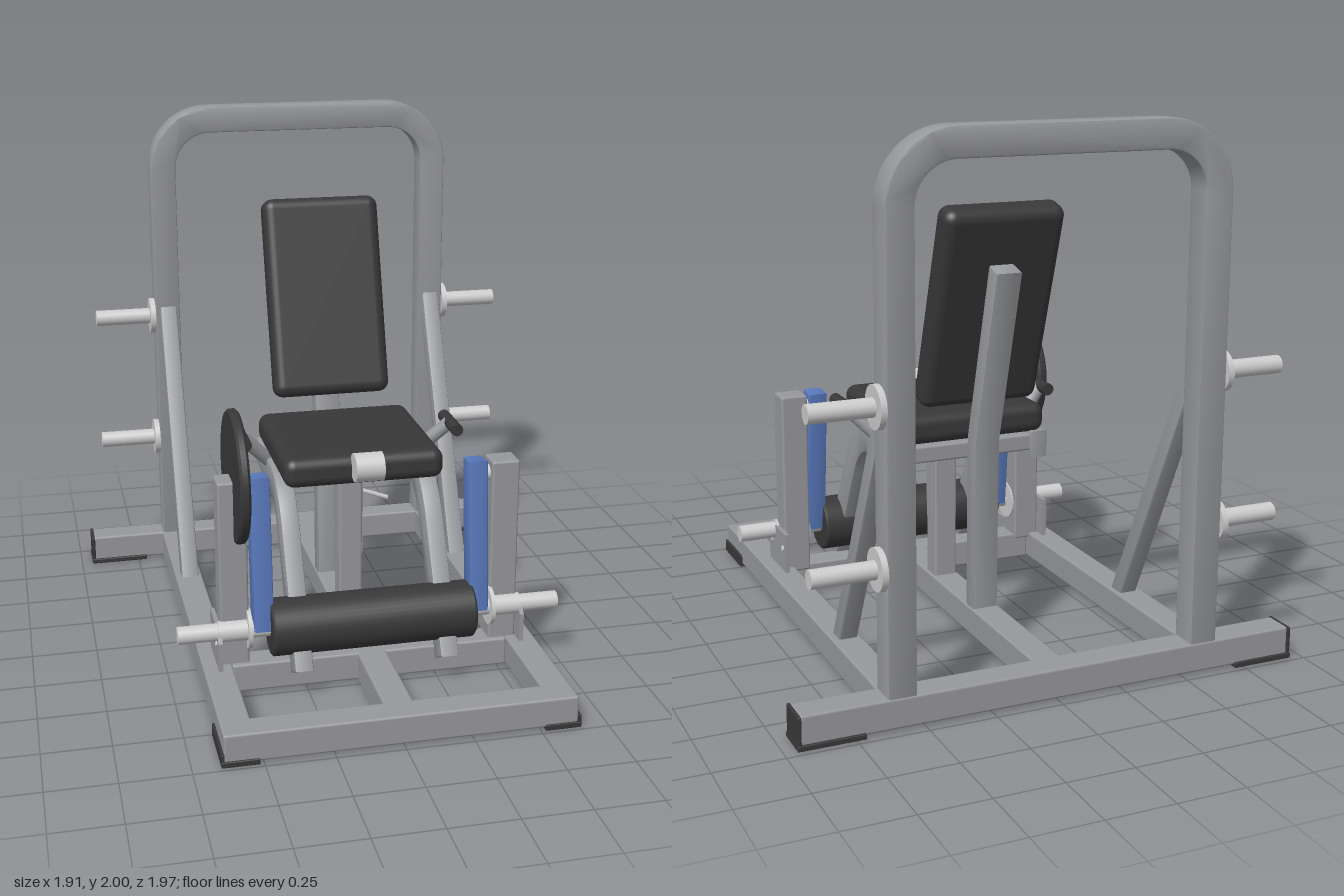
import * as THREE from 'three';
import { toCreasedNormals } from 'three/addons/utils/BufferGeometryUtils.js';
import { RoundedBoxGeometry } from 'three/addons/geometries/RoundedBoxGeometry.js';

const mat = (color) => new THREE.MeshStandardMaterial({ color });
const V2 = (x, y) => new THREE.Vector2(x, y);
const V3 = (x, y, z) => new THREE.Vector3(x, y, z);

export function createModel() {
  const model = new THREE.Group();
  const steel = mat(0x97989c), chrome = mat(0xcccccc), dark = mat(0x383838), blue = mat(0x5878bb);

  const add = (name, geo, material) => {
    const mesh = new THREE.Mesh(geo, material);
    mesh.name = name;
    model.add(mesh);
    return mesh;
  };

  // box given by its extents, with softly rounded edges
  const box = (name, x0, x1, y0, y1, z0, z1, material = steel, r = 0.009, seg = 2) => {
    const mesh = add(name, new RoundedBoxGeometry(x1 - x0, y1 - y0, z1 - z0, seg, r), material);
    mesh.position.set((x0 + x1) / 2, (y0 + y1) / 2, (z0 + z1) / 2);
    return mesh;
  };

  // cylinder along x
  const rodX = (name, x0, x1, y, z, r, material = chrome) => {
    const geo = new THREE.CylinderGeometry(r, r, Math.abs(x1 - x0), 32).rotateZ(Math.PI / 2);
    const mesh = add(name, geo, material);
    mesh.position.set((x0 + x1) / 2, y, z);
    return mesh;
  };

  // cylinder between two points
  const rod = (name, a, b, r, material, sides = 16) => {
    const mesh = add(name, new THREE.CylinderGeometry(r, r, a.distanceTo(b), sides), material);
    mesh.position.copy(a).lerp(b, 0.5);
    mesh.quaternion.setFromUnitVectors(V3(0, 1, 0), b.clone().sub(a).normalize());
    return mesh;
  };

  // bent rectangular tube: a centre line widened by w, extruded by depth
  const bentTube = (name, pts, w, depth, sideways = true, material = steel) => {
    const left = [], right = [];
    pts.forEach((p, i) => {
      const d1 = p.clone().sub(pts[Math.max(i - 1, 0)]).normalize();
      const d2 = pts[Math.min(i + 1, pts.length - 1)].clone().sub(p).normalize();
      const t = d1.clone().add(d2).normalize();
      const miter = w / 2 / Math.max(t.dot(i ? d1 : d2), 0.5);
      left.push(V2(p.x - t.y * miter, p.y + t.x * miter));
      right.unshift(V2(p.x + t.y * miter, p.y - t.x * miter));
    });
    const b = 0.008;
    let geo = new THREE.ExtrudeGeometry(new THREE.Shape([...left, ...right]), {
      depth: depth - 2 * b, bevelThickness: b, bevelSize: b, bevelOffset: -b, bevelSegments: 2,
    });
    geo.translate(0, 0, b - depth / 2);
    if (sideways) geo.rotateY(-Math.PI / 2); // profile x becomes z
    return add(name, toCreasedNormals(geo, 0.6), material);
  };

  // base frame
  box('rearBaseBeam', -0.945, 0.945, 0.01, 0.12, -0.97, -0.86);
  box('frontBaseBeam', -0.64, 0.64, 0.01, 0.12, 0.87, 0.98);
  box('middleBaseBeam', -0.53, 0.53, 0.01, 0.12, 0.37, 0.48);
  box('centreRail', -0.055, 0.055, 0.01, 0.12, -0.87, 0.88);

  // rear arch
  const arch = [V2(0.5825, 0.11)];
  for (let i = 0; i <= 12; i++) {
    const a = (i / 12) * Math.PI / 2;
    arch.push(V2(0.3825 + 0.2 * Math.cos(a), 1.7475 + 0.2 * Math.sin(a)));
  }
  const archLine = [...arch, ...arch.map((p) => V2(-p.x, p.y)).reverse()];
  bentTube('rearArch', archLine, 0.105, 0.11, false).position.z = -0.912;

  // seat leg centre line (z, y): flat under the seat, then curving down to the front
  const bend = new THREE.QuadraticBezierCurve(V2(0.07, 0.705), V2(0.207, 0.705), V2(0.295, 0.54));
  const legLine = [V2(-0.235, 0.705), ...bend.getPoints(10), V2(0.531, 0.094)];

  for (const s of [-1, 1]) {
    const span = (a, b) => (s > 0 ? [a, b] : [-b, -a]);

    box('sideRail', ...span(0.53, 0.64), 0.01, 0.12, -0.87, 0.975);

    // dark protective feet
    box('frontFoot', ...span(0.515, 0.65), 0, 0.02, 0.755, 0.985, dark, 0.004);
    box('frontFootSide', ...span(0.638, 0.65), 0, 0.05, 0.755, 0.985, dark, 0.004);
    box('frontFootEdge', ...span(0.515, 0.65), 0, 0.022, 0.974, 0.987, dark, 0.004);
    box('rearFoot', ...span(0.715, 0.955), 0, 0.02, -0.98, -0.85, dark, 0.004);
    box('rearEndCap', ...span(0.94, 0.953), 0, 0.12, -0.977, -0.853, dark, 0.004);

    // diagonal brace
    bentTube('diagonalBrace', [V2(-0.37, 0.08), V2(-0.88, 1.145)], 0.07, 0.07).position.x = s * 0.58;

    // weight storage pegs
    for (const y of [0.56, 1.11]) {
      rodX('storagePeg', s * 0.62, s * 0.885, y, -0.91, 0.033);
      rodX('storagePegCollar', s * 0.635, s * 0.657, y, -0.91, 0.075);
    }

    // front upright with its bracket
    box('frontUpright', ...span(0.463, 0.57), 0.1, 0.835, 0.355, 0.46);
    const plate = new THREE.Shape([
      V2(0.3, 0.11), V2(0.515, 0.11), V2(0.515, 0.23), V2(0.47, 0.28), V2(0.3, 0.28),
    ]);
    const plateGeo = new THREE.ExtrudeGeometry(plate, { depth: 0.016, bevelEnabled: false });
    plateGeo.translate(0, 0, -0.008).rotateY(-Math.PI / 2);
    add('uprightBracket', plateGeo, steel).position.x = s * 0.578;
    for (const z of [0.33, 0.47]) rodX('bracketBolt', s * 0.58, s * 0.592, 0.215, z, 0.012);

    // swinging lever arm and its loading peg
    bentTube('leverArm', [V2(0.458, 0.25), V2(0.405, 0.835)], 0.08, 0.075, true, blue)
      .position.x = s * 0.412;
    rodX('leverPivot', s * 0.42, s * 0.48, 0.78, 0.408, 0.03);
    rodX('loadingPeg', s * 0.38, s * 0.73, 0.255, 0.46, 0.033);
    rodX('loadingPegSleeve', s * 0.46, s * 0.58, 0.255, 0.46, 0.04);
    rodX('loadingPegCollar', s * 0.457, s * 0.472, 0.255, 0.445, 0.077);

    // seat leg
    bentTube('seatLeg', legLine, 0.105, 0.07).position.x = s * 0.278;

    // hand grip
    rod('gripArm', V3(s * 0.28, 0.72, -0.02), V3(s * 0.415, 0.86, 0.045), 0.027, steel);
    rod('handGrip', V3(s * 0.415, 0.862, -0.037), V3(s * 0.415, 0.862, 0.155), 0.024, dark, 24);
  }

  // seat support
  box('seatCrossbar', -0.26, 0.26, 0.68, 0.745, 0.03, 0.12);
  box('rearSeatCrossbar', -0.26, 0.26, 0.68, 0.745, -0.225, -0.155);
  box('seatPost', -0.046, 0.046, 0.1, 0.7, 0.03, 0.12);
  for (const s of [-1, 1]) {
    box('seatPostPlate', s * 0.047 - 0.004, s * 0.047 + 0.004, 0.36, 0.66, 0.045, 0.107, steel, 0.002);
  }
  rod('adjustmentPin', V3(0.04, 0.62, 0.075), V3(0.157, 0.577, 0.075), 0.009, chrome);

  // cushions
  box('seatCushion', -0.305, 0.305, 0.75, 0.865, -0.235, 0.37, dark, 0.042, 5);
  const back = box('backCushion', -0.235, 0.235, 0.8975, 1.6925, -0.417, -0.303, dark, 0.042, 5);
  back.rotation.x = -0.309;
  bentTube('backPost', [V2(-0.315, 0.1), V2(-0.325, 0.78), V2(-0.508, 1.45)], 0.076, 0.1);

  // seat front bar, leg roller and weight disc
  rodX('seatFrontBar', -0.054, 0.054, 0.835, 0.402, 0.054);
  const roller = new THREE.LatheGeometry([
    V2(0, -0.388), V2(0.1, -0.388), V2(0.108, -0.38), V2(0.108, 0.38), V2(0.1, 0.388), V2(0, 0.388),
  ], 40).rotateZ(Math.PI / 2);
  add('legRoller', toCreasedNormals(roller, 0.5), dark).position.set(0, 0.255, 0.462);
  const disc = new THREE.LatheGeometry([
    V2(0, -0.019), V2(0.237, -0.019), V2(0.246, -0.01), V2(0.246, 0.01), V2(0.237, 0.019), V2(0, 0.019),
  ], 56).rotateZ(Math.PI / 2);
  add('weightDisc', toCreasedNormals(disc, 0.5), dark).position.set(-0.494, 0.84, 0.406);

  return model;
}
